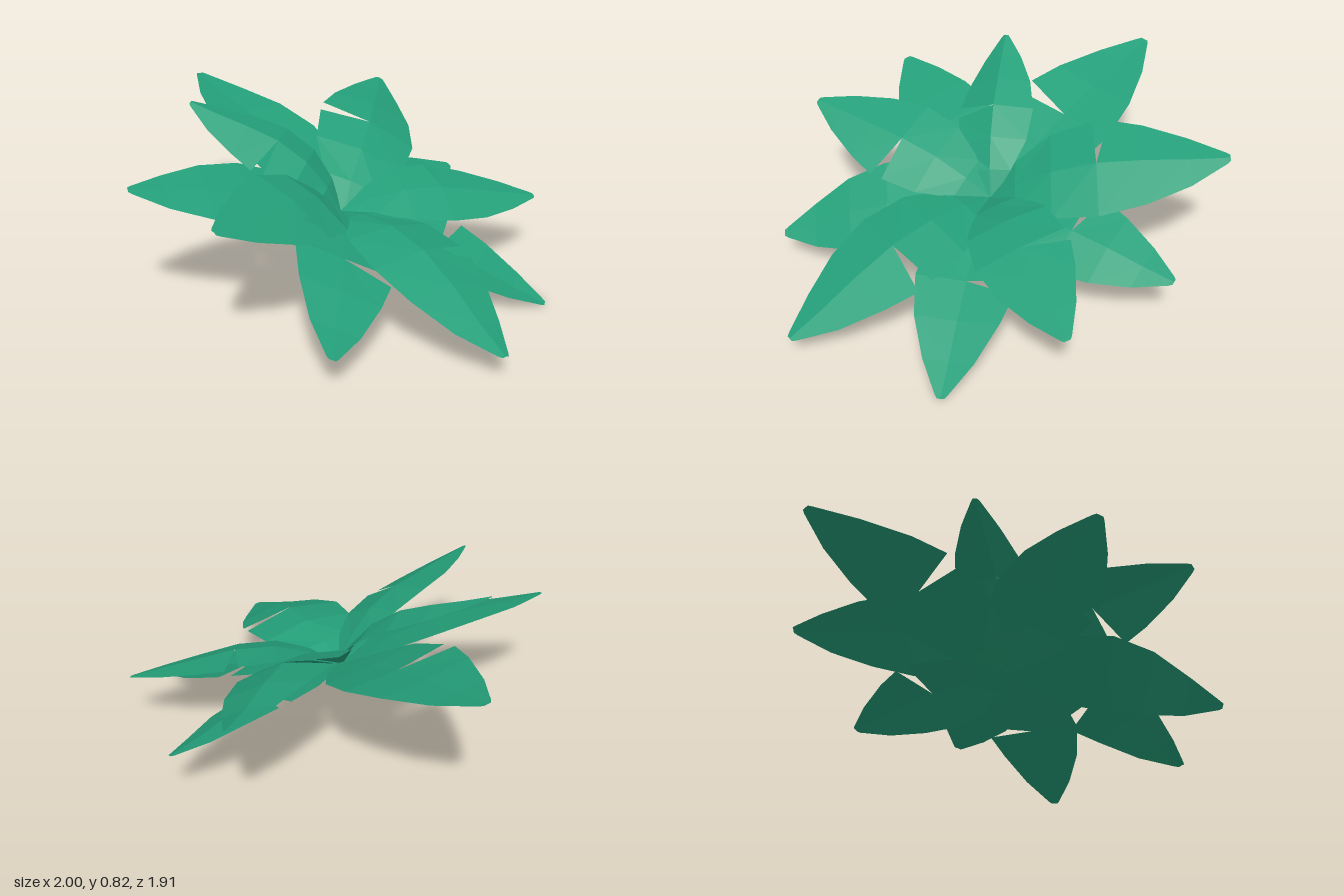
import * as THREE from 'three';

const material = new THREE.MeshStandardMaterial({ color: 0x249f79, flatShading: true, side: THREE.DoubleSide });

// Petal stations: [distance along, half width, midrib height, shift of the slit edge].
// Distances and widths are fractions of the petal length; the slit opens on one side only.
const stations = [
  [0, 0.02, 0, 0],
  [0.12, 0.12, 0.42, 0],
  [0.28, 0.203, 0.8, 0],
  [0.47, 0.225, 1, -0.015],
  [0.47, 0.225, 1, 0.055],
  [0.66, 0.187, 1.02, 0],
  [0.84, 0.112, 0.99, 0],
  [0.985, 0.027, 0.9, 0],
  [1, 0.015, 0.88, 0],
];
const SLIT = 3;
const MAX_WIDTH = 0.225;

// A leaf-shaped petal, gently folded along its midrib, pointing along an angle seen from above
function petal(name, degrees, length, rise, tip, slitDrop, plainDrop) {
  const a = THREE.MathUtils.degToRad(degrees);
  const point = (u, side, h) => [
    length * (u * Math.cos(a) - side * Math.sin(a)), h,
    length * (-u * Math.sin(a) - side * Math.cos(a)),
  ];
  const positions = [];
  const index = [];
  for (const [u, w, h, shift] of stations) {
    // blend from the common arch to this petal's own tip height
    const blend = THREE.MathUtils.smoothstep(u, 0.5, 1);
    const y = THREE.MathUtils.lerp(rise * h, tip, blend);
    const fold = (w / MAX_WIDTH) * Math.min(1, u * 3);
    positions.push(
      ...point(u + shift, w, y - slitDrop * fold),
      ...point(u, 0, y),
      ...point(u, -w, y - plainDrop * fold),
    );
  }
  for (let i = 0; i < stations.length - 1; i++) {
    if (i === SLIT) continue;
    for (let k = 0; k < 2; k++) {
      const p = i * 3 + k, q = p + 3;
      index.push(p, p + 1, q, p + 1, q + 1, q);
    }
  }
  const geometry = new THREE.BufferGeometry();
  geometry.setAttribute('position', new THREE.Float32BufferAttribute(positions, 3));
  geometry.setIndex(index);
  geometry.computeVertexNormals();
  const mesh = new THREE.Mesh(geometry, material);
  mesh.name = name;
  return mesh;
}

export function createModel() {
  const model = new THREE.Group();
  model.name = 'flower';

  // Whole rosette leans toward +x
  const rosette = new THREE.Group();
  rosette.name = 'rosette';
  rosette.position.set(0.01, 0.34, 0.03);
  rosette.rotation.z = -0.4;
  model.add(rosette);

  // Each petal: angle, length, arch height, tip height, drop of the slit edge, drop of the plain edge
  const upper = [
    [113.6, 1.07, 0.205, 0.167, 0.025, 0.05],
    [47.6, 0.92, 0.205, 0.229, 0.03, 0.03],
    [-23.4, 1.08, 0.21, 0.169, 0.03, 0.06],
    [-96.8, 0.926, 0.21, 0.235, 0.045, 0.015],
    [-162.6, 0.8, 0.2, 0.197, 0.085, 0.03],
  ];
  const lower = [
    [82.3, 0.93, 0.035, -0.012, 0.015, 0.035],
    [14, 0.99, 0.06, 0.037, -0.015, -0.025],
    [-59.8, 0.97, 0.085, 0, 0.03, -0.02],
    [-129, 0.98, 0.06, 0.022, 0.01, 0.01],
    [163.2, 1.14, 0.037, -0.015, -0.01, -0.015],
  ];
  upper.forEach((p, i) => rosette.add(petal(`upperPetal${i + 1}`, ...p)));
  lower.forEach((p, i) => rosette.add(petal(`lowerPetal${i + 1}`, ...p)));
  return model;
}
